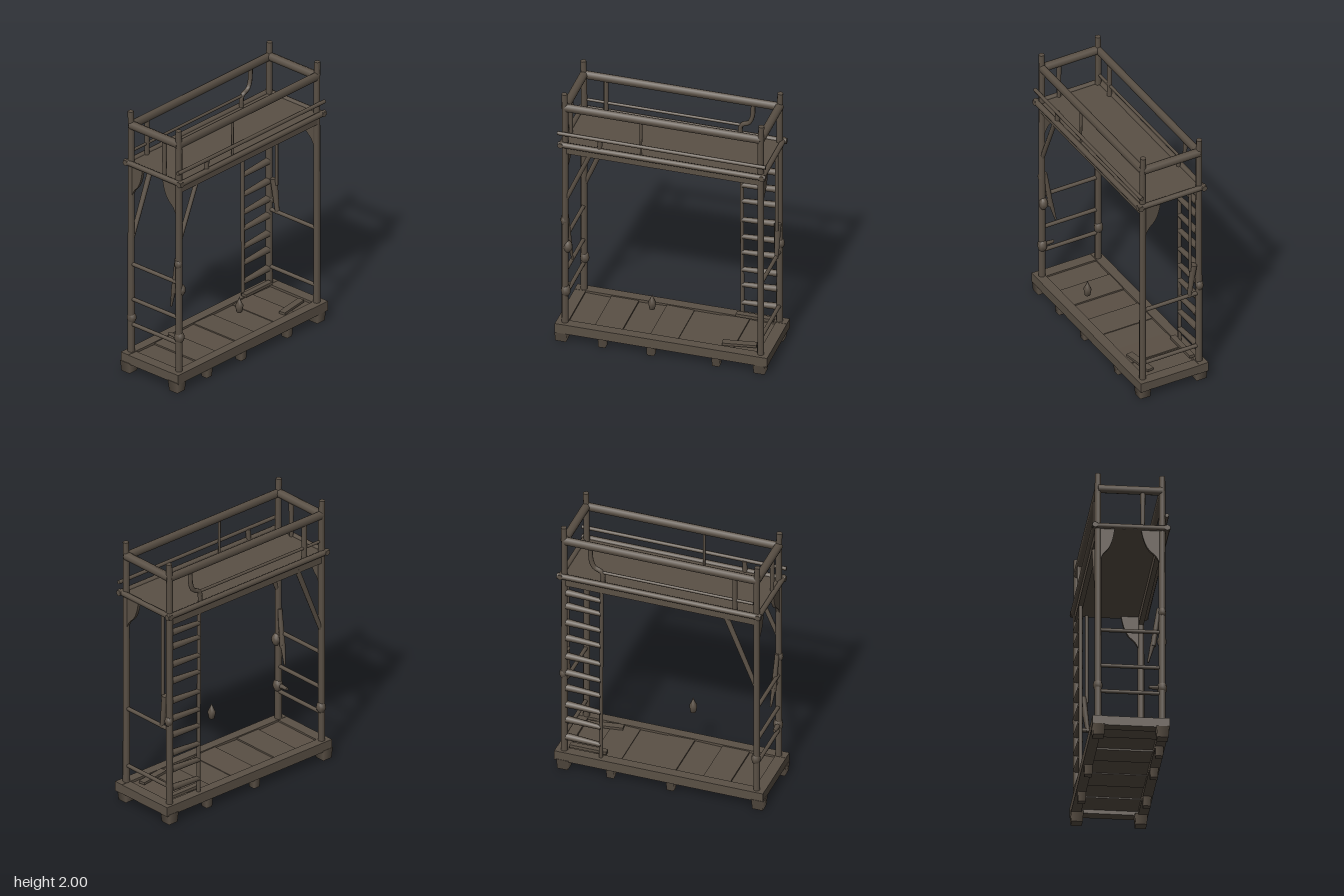
import * as THREE from 'three';

export function createModel() {
  const root = new THREE.Group();
  root.name = 'bunkFrame';
  const wood = new THREE.MeshStandardMaterial({ color: 0x5a5045 });
  wood.name = 'dark weathered wood';
  const X = 0.705, ZF = 0.217, ZB = -0.228;

  function add(name, geo) {
    const m = new THREE.Mesh(geo, wood);
    m.name = name;
    root.add(m);
    return m;
  }
  function box(name, w, h, d, x, y, z) {
    const m = add(name, new THREE.BoxGeometry(w, h, d));
    m.position.set(x, y, z);
    return m;
  }
  // Round pole between two points, r0 at the start and r1 at the end
  function pole(name, a, b, r0, r1 = r0, sides = 8) {
    const p = new THREE.Vector3(...a), q = new THREE.Vector3(...b);
    const dir = q.clone().sub(p);
    const m = add(name, new THREE.CylinderGeometry(r1, r0, dir.length(), sides));
    m.position.copy(p).add(q).multiplyScalar(0.5);
    m.quaternion.setFromUnitVectors(new THREE.Vector3(0, 1, 0), dir.normalize());
    return m;
  }
  function bent(name, pts, r) {
    const curve = new THREE.CatmullRomCurve3(pts.map(p => new THREE.Vector3(...p)));
    return add(name, new THREE.TubeGeometry(curve, 16, r, 6));
  }

  // Base: edge beams, cross planks and feet
  box('baseBeamFront', 1.53, 0.072, 0.07, 0, 0.107, 0.23);
  box('baseBeamBack', 1.53, 0.072, 0.07, 0, 0.107, -0.235);
  for (const s of [-1, 1]) box('baseBeamEnd', 0.08, 0.068, 0.52, s * 0.725, 0.107, 0);
  for (let i = 0; i < 7; i++) {
    const p = box('basePlank', 0.199, 0.022, 0.42, -0.6 + i * 0.2, 0.115 + (i % 2) * 0.008, 0);
    p.rotation.z = (i % 3 - 1) * 0.03;
  }
  function foot(x, z, w, h) {
    const g = new THREE.CylinderGeometry(w * 0.7, w * 0.6, h, 4, 1);
    g.rotateY(Math.PI / 4);
    add('foot', g).position.set(x, h / 2, z);
  }
  for (const x of [-0.725, 0.705]) for (const z of [ZF, ZB]) foot(x, z, 0.09, 0.08);
  for (const x of [-0.43, -0.08, 0.39]) foot(x, 0.225, 0.06, 0.08);
  for (const x of [-0.08, 0.36]) foot(x, -0.23, 0.06, 0.08);

  // Corner posts with slightly crooked tops
  for (const s of [-1, 1]) for (const z of [ZF, ZB]) {
    pole('post', [s * X, 0.1, z], [s * X, 1.86, z], 0.025, 0.023);
    pole('postTop', [s * X, 1.85, z], [s * 0.71, 2, z], 0.023, 0.021);
  }

  // Upper deck: slab, lip and the beams beneath it
  box('upperDeck', 1.46, 0.022, 0.48, 0, 1.595, 0);
  for (const z of [0.25, -0.25]) pole('deckLip', [-0.745, 1.603, z], [0.75, 1.603, z], 0.021);
  for (const s of [-1, 1]) pole('deckLipEnd', [s * 0.725, 1.603, 0.27], [s * 0.725, 1.603, -0.27], 0.02);
  for (const z of [ZF, ZB]) box('deckBeam', 1.39, 0.06, 0.035, 0, 1.555, z);

  // Top rails, lower rails and rail uprights
  for (const z of [ZF, ZB]) {
    const r = pole('topRail', [-X, 1.89, z], [X, 1.89, z], 0.034);
    r.scale.z = 0.7;
  }
  for (const s of [-1, 1]) pole('topRailEnd', [s * X, 1.892, ZF], [s * X, 1.892, ZB], 0.031);
  pole('lowerRailFront', [-0.75, 1.692, 0.247], [0.75, 1.688, 0.247], 0.014);
  pole('lowerRailBack', [0.43, 1.69, ZB], [-0.68, 1.69, ZB], 0.011);
  pole('railUpright', [-0.545, 1.6, ZB], [-0.545, 1.87, ZB], 0.018);
  pole('railUpright', [-0.158, 1.6, ZF], [-0.158, 1.87, ZF], 0.008, 0.011);
  pole('railUpright', [-X, 1.6, 0.083], [-X, 1.88, 0.083], 0.014, 0.019);
  bent('bentUpright', [[0.515, 1.88, ZB], [0.508, 1.77, ZB], [0.485, 1.72, ZB], [0.43, 1.69, ZB], [0.42, 1.6, ZB]], 0.017);
  pole('stubUpright', [-0.45, 1.6, 0.24], [-0.445, 1.69, 0.24], 0.018);

  // Ladder against the back right post
  pole('ladderRail', [0.437, 0.12, ZB], [0.432, 1.56, ZB], 0.014);
  for (const y of [1.455, 1.345, 1.206, 1.078, 0.925, 0.787, 0.66, 0.52, 0.395, 0.25])
    pole('ladderRung', [0.437, y - 0.006, ZB], [0.69, y + 0.006, ZB], 0.018, 0.026);
  box('looseBoard', 0.27, 0.022, 0.04, 0.54, 0.165, -0.19);
  box('looseBoard', 0.24, 0.018, 0.05, 0.53, 0.145, 0.14).rotation.y = 0.15;

  // Crossbars on both ends
  for (const [x, ys] of [[-X, [0.82, 0.55, 0.355]], [X, [0.712, 0.27]]])
    for (const y of ys) pole('crossbar', [x, y, ZF], [x, y, ZB], 0.015);

  // Diagonal braces on the left end of the deck
  pole('diagonalBrace', [-0.695, 1.15, ZF], [-0.52, 1.55, ZF], 0.016);
  pole('diagonalBrace', [-0.7, 1.0, ZB], [-0.475, 1.55, ZB], 0.016, 0.02);

  // Curved gusset plates under the deck ends
  const shape = new THREE.Shape();
  shape.moveTo(0, 0);
  shape.lineTo(0.145, 0);
  shape.quadraticCurveTo(0.125, -0.14, 0.06, -0.18);
  shape.quadraticCurveTo(0.025, -0.21, 0, -0.3);
  shape.closePath();
  for (const [x, z, dir, w] of [[-X, ZF, -1, 1], [X, ZF, -1, 0.95], [-X, ZB, 1, 0.8]]) {
    const g = new THREE.ExtrudeGeometry(shape, { depth: 0.024, bevelEnabled: false, curveSegments: 8 });
    g.translate(0, 0, -0.012);
    const m = add('gusset', g);
    m.rotation.y = dir > 0 ? -Math.PI / 2 : Math.PI / 2;
    m.scale.x = w;
    m.position.set(x, 1.59, z);
  }

  // Loose strut beside the back right post
  pole('strut', [X, 0.92, -0.158], [X, 1.58, -0.158], 0.012);
  pole('strutFoot', [X, 0.7, -0.15], [X, 0.96, -0.185], 0.015, 0.026);

  // Splinters and knots on the posts
  pole('splinter', [-0.69, 0.72, 0.155], [-0.7, 1.0, 0.195], 0.02, 0.016);
  pole('splinterTip', [-0.68, 0.6, 0.122], [-0.69, 0.74, 0.155], 0.007, 0.018);
  pole('peg', [-X, 0.4, 0.2], [-X, 0.4, 0.125], 0.02, 0.012, 6);
  for (const [x, y, z, r] of [[-0.7, 0.4, ZF, 0.036], [-0.685, 0.76, ZF, 0.034],
    [-0.7, 0.4, ZB, 0.034], [-0.71, 0.97, ZF, 0.028], [0.712, 0.78, ZB, 0.03]]) {
    const k = add('knot', new THREE.SphereGeometry(r, 8, 6));
    k.scale.y = 1.4;
    k.position.set(x, y, z);
  }

  // Hanging drop near the front edge
  const profile = [[0, 0.355], [0.02, 0.36], [0.029, 0.41], [0.012, 0.445], [0, 0.478]];
  add('drop', new THREE.LatheGeometry(profile.map(p => new THREE.Vector2(...p)), 8)).position.set(-0.08, 0, 0.21);

  return root;
}
